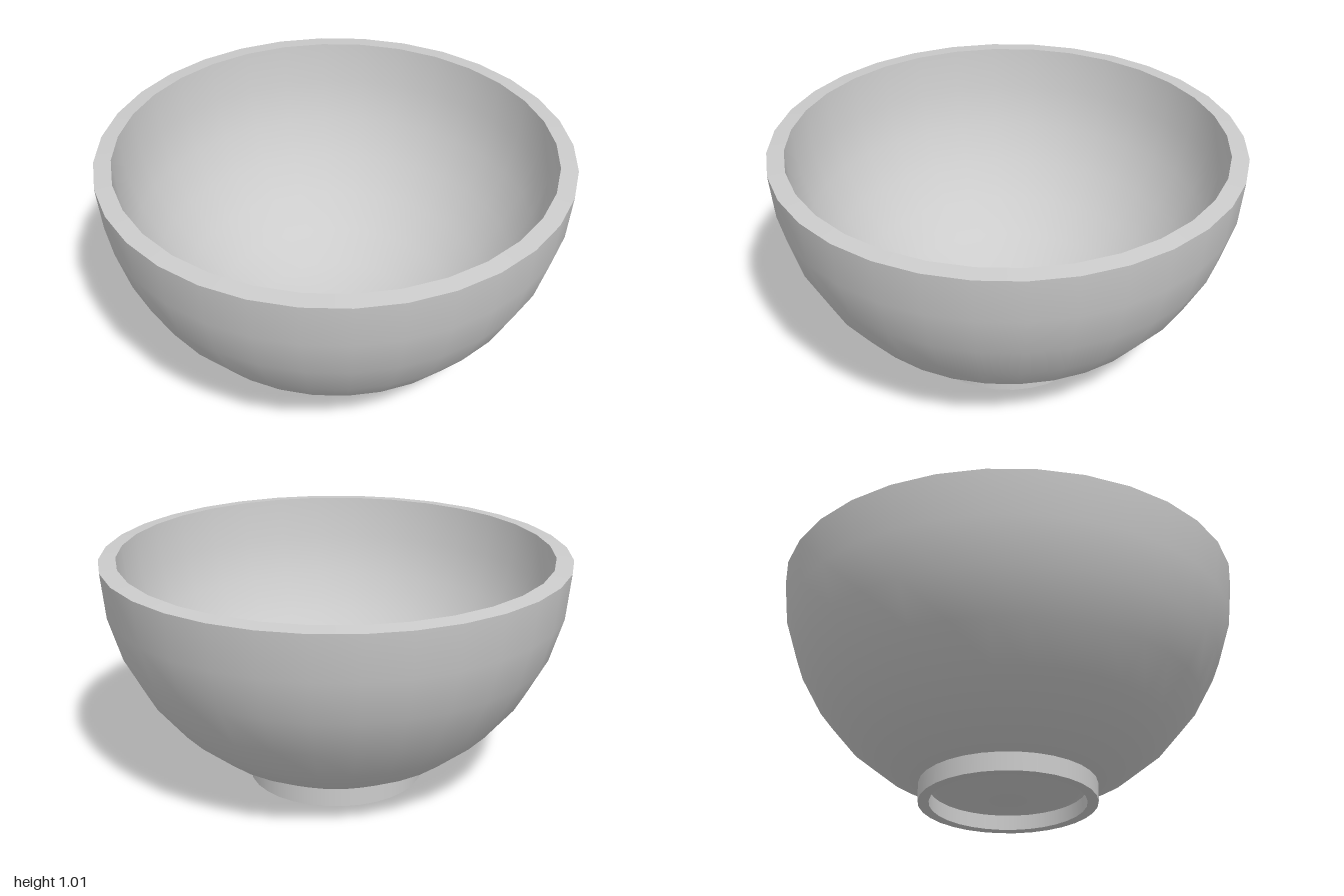
import * as THREE from 'three';

const SIDES = 32;
const CENTRE_Y = 1.005;   // height of the hemisphere's centre
const OUTER = 1;
const INNER = 0.927;
const RIM_LIFT = 0.008;   // the inner lip sits slightly higher than the outer one
const FOOT_INNER = 0.336;

const material = new THREE.MeshStandardMaterial({ color: 0xcccccc });

// One smooth surface of revolution; separate surfaces keep their shared edges sharp.
function revolve(name, points) {
  const profile = points.map(([r, y]) => new THREE.Vector2(r, y));
  const mesh = new THREE.Mesh(new THREE.LatheGeometry(profile, SIDES), material);
  mesh.name = name;
  return mesh;
}

// Quarter circle from the bottom pole up to the equator.
function quarterArc(radius, steps = 8) {
  const points = [];
  for (let i = 0; i <= steps; i++) {
    const a = (i / steps) * Math.PI / 2;
    points.push([i === 0 ? 0 : radius * Math.sin(a), CENTRE_Y - radius * Math.cos(a)]);
  }
  return points;
}

export function createModel() {
  const model = new THREE.Group();
  model.name = 'bowl';

  // Bowl shell: outside, lip and inside
  const outer = quarterArc(OUTER);
  const inner = quarterArc(INNER).reverse();
  inner[0][1] += RIM_LIFT;
  const shell = new THREE.Group();
  shell.name = 'shell';
  shell.add(
    revolve('outerWall', outer),
    revolve('rim', [outer[outer.length - 1], inner[0]]),
    revolve('innerWall', inner)
  );

  // Foot ring, meeting the shell at its second profile ring
  const [footOuter, footTop] = outer[2];
  const foot = new THREE.Group();
  foot.name = 'footRing';
  foot.add(
    revolve('footOuterWall', [[footOuter, 0], [footOuter, footTop]]),
    revolve('footUnderside', [[FOOT_INNER, 0], [footOuter, 0]]),
    revolve('footInnerWall', [[FOOT_INNER, footTop], [FOOT_INNER, 0]])
  );

  model.add(shell, foot);
  return model;
}
